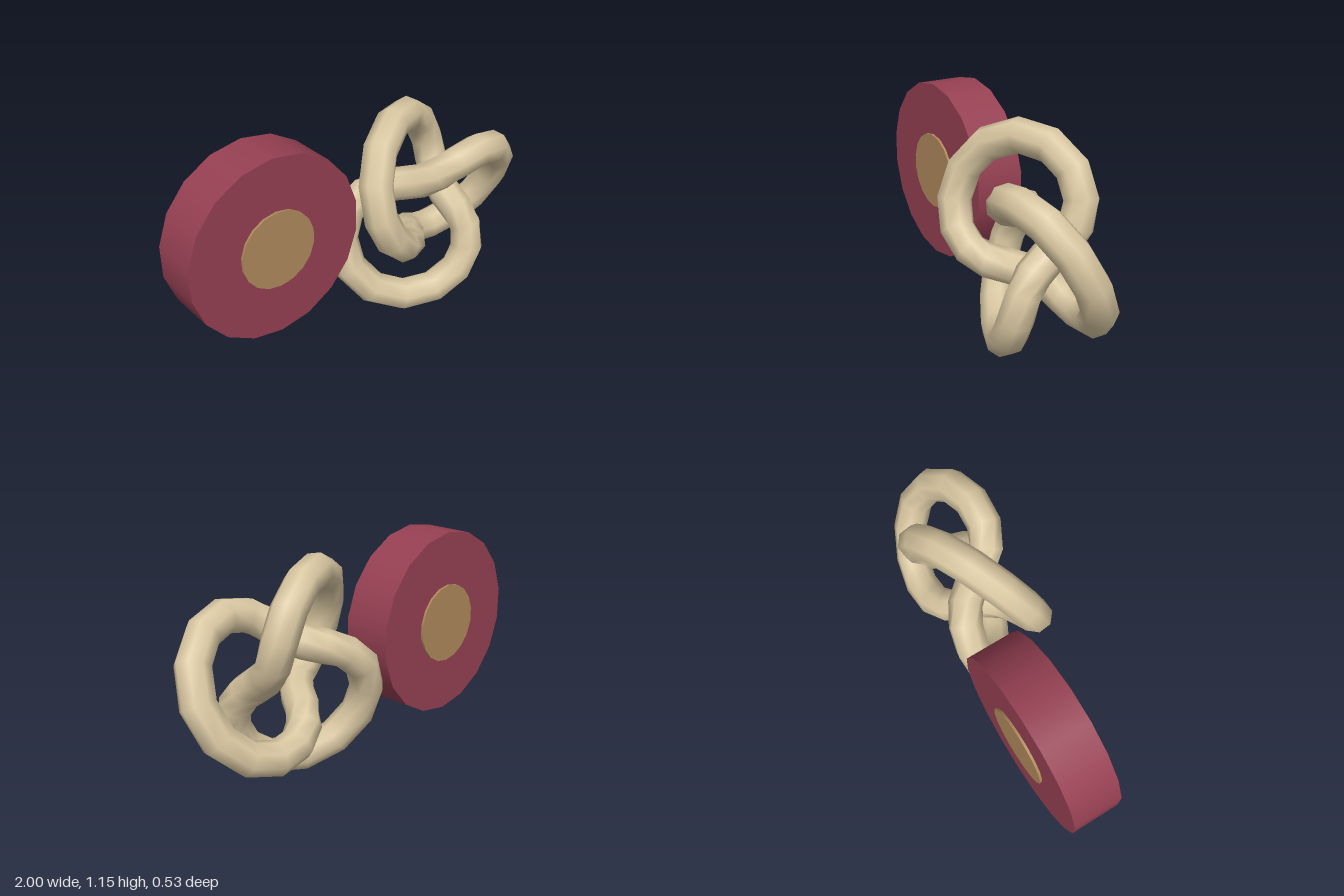
import * as THREE from 'three';

const mat = (name, color) => {
  const m = new THREE.MeshStandardMaterial({ color });
  m.name = name;
  return m;
};

// Disc facing z, spanning from zBack to zFront
function disc(name, radius, zBack, zFront, material) {
  const geometry = new THREE.CylinderGeometry(radius, radius, zFront - zBack, 18);
  geometry.rotateX(Math.PI / 2);
  const mesh = new THREE.Mesh(geometry, material);
  mesh.position.set(-0.525, 0.683, (zBack + zFront) / 2);
  mesh.name = name;
  return mesh;
}

export function createModel() {
  const model = new THREE.Group();
  model.name = 'knotAndWheel';

  const cream = mat('cream', 0xdac8a2);
  const maroon = mat('maroon', 0x964052);
  const tan = mat('tan', 0xb08a5c);

  // Trefoil knot, one lobe pointing to +x
  const knot = new THREE.Mesh(new THREE.TorusKnotGeometry(0.35, 0.0875, 40, 8, 2, 3), cream);
  knot.position.set(0.388, 0.5875, 0);
  knot.name = 'knot';
  model.add(knot);

  // Thick wheel with a hub showing slightly on both faces
  model.add(disc('wheel', 0.482, -0.255, 0, maroon));
  model.add(disc('hub', 0.206, -0.267, 0.012, tan));

  return model;
}
